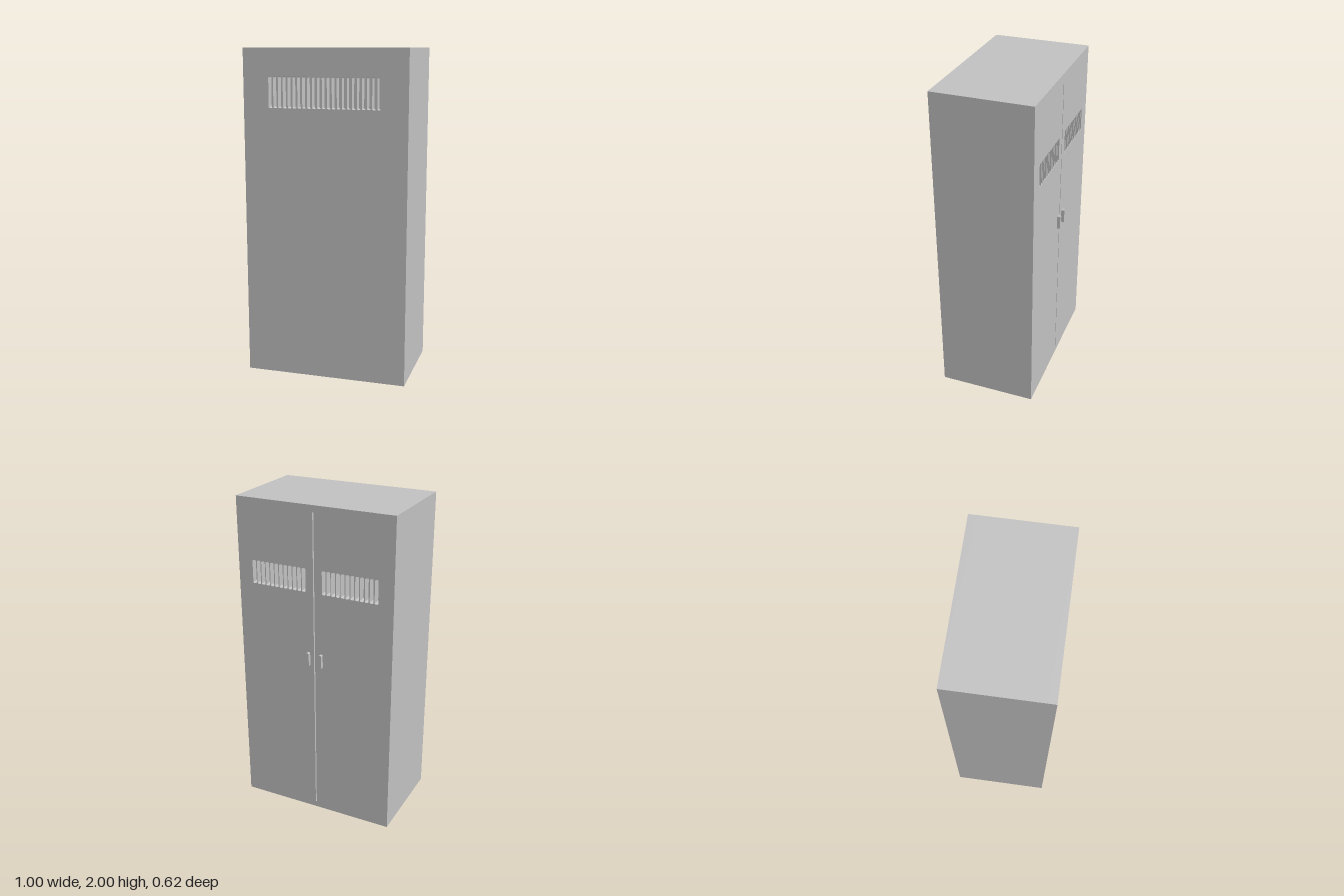
import * as THREE from 'three';

const W = 1, H = 2, BACK = -0.29, FRONT = 0.31, PANEL = 0.05;

// Upright rectangle with rounded corners, centred on (x, y)
function roundedSlot(Type, x, y, w, h, r) {
  const p = new Type(), l = x - w / 2, b = y - h / 2, R = l + w, t = b + h;
  p.moveTo(l + r, b);
  p.lineTo(R - r, b).absarc(R - r, b + r, r, -Math.PI / 2, 0, false);
  p.lineTo(R, t - r).absarc(R - r, t - r, r, 0, Math.PI / 2, false);
  p.lineTo(l + r, t).absarc(l + r, t - r, r, Math.PI / 2, Math.PI, false);
  p.lineTo(l, b + r).absarc(l + r, b + r, r, Math.PI, Math.PI * 1.5, false);
  return p;
}

// Row of vent slots
function ventRow(count, cx, cy, h) {
  return Array.from({ length: count }, (_, i) =>
    roundedSlot(THREE.Path, cx + (i - (count - 1) / 2) * 0.03, cy, 0.024, h, 0.008));
}

function extrude(shape, depth) {
  return new THREE.ExtrudeGeometry(shape, { depth, bevelEnabled: false, curveSegments: 4 });
}

// Full-size upright panel with cut-outs
function panel(holes) {
  const s = new THREE.Shape();
  s.moveTo(-W / 2, 0).lineTo(W / 2, 0).lineTo(W / 2, H).lineTo(-W / 2, H).closePath();
  s.holes.push(...holes);
  return extrude(s, PANEL);
}

export function createModel() {
  const group = new THREE.Group();
  group.name = 'cabinet';
  const grey = new THREE.MeshStandardMaterial({ color: 0xc0c0c0 });
  grey.name = 'light grey metal';

  const add = (name, geometry, x, y, z) => {
    const mesh = new THREE.Mesh(geometry, grey);
    mesh.name = name;
    mesh.position.set(x, y, z);
    group.add(mesh);
  };

  // Solid core that closes the bottoms of the slots
  const depth = FRONT - BACK - 2 * PANEL;
  add('cabinetBody', new THREE.BoxGeometry(W, H, depth), 0, H / 2, (FRONT + BACK) / 2);

  // Plain side with one wide vent
  add('ventedPanel', panel(ventRow(23, 0, 1.743, 0.184)), 0, 0, FRONT - PANEL);

  // Door side: two vents and the seam between the doors
  const seam = roundedSlot(THREE.Path, 0, 1, 0.007, 1.92, 0.001);
  add('doorPanel', panel([
    ...ventRow(12, -0.23, 1.555, 0.145),
    ...ventRow(12, 0.23, 1.555, 0.145),
    seam,
  ]), 0, 0, BACK);

  // Door handles
  for (const [name, x] of [['leftHandle', 0.039], ['rightHandle', -0.045]]) {
    add(name, extrude(roundedSlot(THREE.Shape, 0, 0, 0.02, 0.09, 0.008), 0.022), x, 1.058, BACK - 0.02);
  }
  return group;
}
